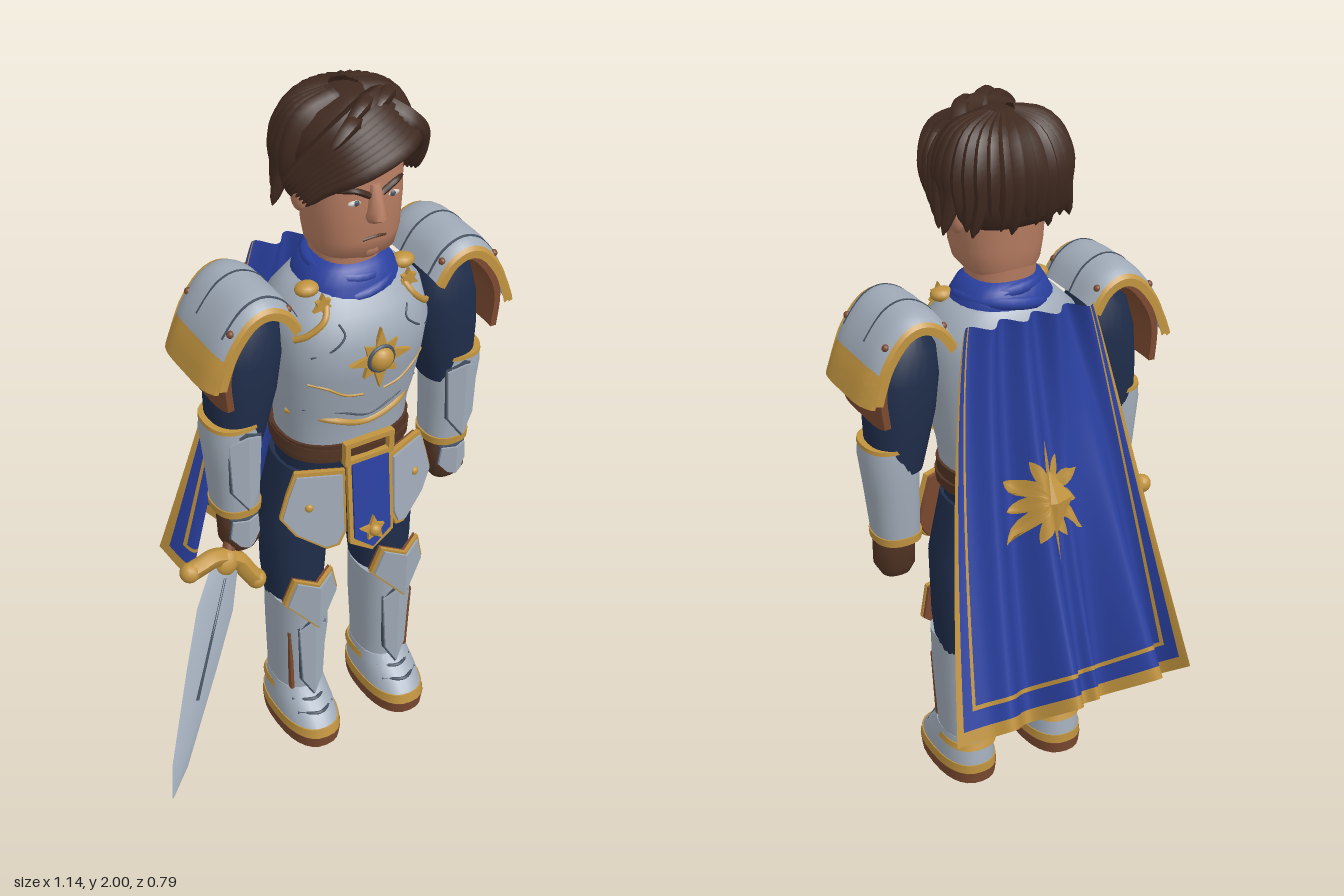
import * as THREE from 'three';
import { toCreasedNormals } from 'three/addons/utils/BufferGeometryUtils.js';

const mat = (name, color) => Object.assign(new THREE.MeshStandardMaterial({ color, side: THREE.DoubleSide }), { name });
const M = {
  steel: mat('steel', 0xa0abb8), line: mat('darkSteel', 0x465262), gold: mat('gold', 0xc0933f), blue: mat('blueCloth', 0x2a40a0), navy: mat('navyCloth', 0x1f2d4a),
  hair: mat('brownHair', 0x402a20), skin: mat('skin', 0xb57b60), leather: mat('leather', 0x7c4a30), dark: mat('darkLeather', 0x523424), white: mat('eyeWhite', 0xd0c8c0),
};
const V = (x, y, z) => new THREE.Vector3(x, y, z), V2 = (pts) => pts.map((q) => new THREE.Vector2(...q));
const mix = THREE.MathUtils.lerp, TAU = Math.PI * 2, E = 2.4; // E: roundness of body sections
function mesh3(p, idx) {
  const g = new THREE.BufferGeometry().setAttribute('position', new THREE.Float32BufferAttribute(p, 3)).setIndex(idx);
  g.computeVertexNormals();
  return g;
}
// stacked superellipse sections, rows rising: [y, rx, rz, cx, cz]
function loft(rows, n = 28, e = E) {
  const p = [], idx = [], pw = (c) => Math.sign(c) * Math.abs(c) ** (2 / e), last = rows.length - 1, c0 = rows.length * n;
  for (const [y, rx, rz, cx = 0, cz = 0] of rows)
    for (let j = 0; j < n; j++) p.push(cx + rx * pw(Math.cos((j / n) * TAU)), y, cz + rz * pw(Math.sin((j / n) * TAU)));
  for (const r of [rows[0], rows[last]]) p.push(r[3] || 0, r[0], r[4] || 0);
  for (let j = 0; j < n; j++) {
    const k = (j + 1) % n;
    for (let a = j, c = k; a < last * n; a += n, c += n) idx.push(a, a + n, c, a + n, c + n, c);
    idx.push(c0, j, k, c0 + 1, last * n + k, last * n + j);
  }
  return toCreasedNormals(mesh3(p, idx), 0.9);
}
// front z of a loft at (x, y)
function frontZ(rows, x, y) {
  const i = Math.max(0, rows.findLastIndex((r, k) => r[0] <= y && k < rows.length - 1)), a = rows[i], b = rows[i + 1];
  const [, rx, rz, , cz] = a.map((v, k) => mix(v, b[k], (y - a[0]) / (b[0] - a[0])));
  return cz + rz * Math.max(0, 1 - Math.abs(x / rx) ** E) ** (1 / E);
}
// tube of even thickness, or thinning toward its end
function lock(pts, r, thin = true, n = 18) {
  const c = new THREE.CatmullRomCurve3(pts.map((q) => V(...q))), g = new THREE.TubeGeometry(c, n, r, 7), p = g.attributes.position;
  for (let i = 0; thin && i < p.count; i++) {
    const t = Math.floor(i / 8) / n, o = c.getPointAt(t);
    const v = V(0, 0, 0).fromBufferAttribute(p, i).sub(o).multiplyScalar(Math.sqrt(Math.max(0.003, 1 - t * t))).add(o);
    p.setXYZ(i, v.x, v.y, v.z);
  }
  g.computeVertexNormals();
  return g;
}
const extrude = (pts, depth, steps = 1) => new THREE.ExtrudeGeometry(new THREE.Shape(V2(pts)), { depth, steps, bevelEnabled: false });
const scaled = (pts, k) => pts.map(([x, y]) => [x * k, y * k]);
const star = (n, R, r) => extrude(Array.from({ length: n * 2 }, (_, i) => [Math.sin, Math.cos].map((f) => f((i * Math.PI) / n) * (i % 2 ? r : i % 4 ? R * 0.75 : R))), 0.012);

export function createModel() {
  const place = (o, name, parent, pos = [0, 0, 0], rot = [0, 0, 0]) => {
    o.name = name; o.position.set(...pos); o.rotation.set(...rot);
    if (parent) parent.add(o);
    return o;
  };
  const group = (...args) => place(new THREE.Group(), ...args);
  const root = group('knight'), body = group('body', root, [0.11, 0, 0]);
  const add = (name, geo, m, pos, parent = body, rot) => place(new THREE.Mesh(geo, m), name, parent, pos, rot);
  const ball = (name, m, r, pos, sc = [1, 1, 1], parent = body) => add(name, new THREE.SphereGeometry(r, 14, 10), m, pos, parent).scale.set(...sc);
  // layered plate with a central ridge, mirrored from half an outline: layers [size, material, dz]
  const ridged = (name, half, fold, [x0, y0, z0], layers = [[1, M.line, 0], [0.93, M.steel, 0.006]]) => {
    for (const [k, m, dz] of layers) for (const t of [1, -1]) {
      const g = extrude(scaled(half, k).map(([x, y]) => [x * t, y]), 0.012), p = g.attributes.position;
      for (let i = 0; i < p.count; i++) p.setZ(i, p.getZ(i) - Math.abs(p.getX(i)) * fold);
      g.computeVertexNormals();
      add(name, g, m, [x0, y0, z0 + dz]);
    }
  };
  // torso, hips, belt
  const chest = [[0.98, 0.175, 0.135, 0, 0.1], [1.08, 0.185, 0.137, 0, 0.105], [1.13, 0.195, 0.145, 0, 0.108], [1.25, 0.205, 0.165, 0, 0.118],
    [1.35, 0.213, 0.175, 0, 0.122], [1.43, 0.2, 0.152, 0, 0.112], [1.48, 0.15, 0.115, 0, 0.105], [1.51, 0.09, 0.08, 0, 0.105]];
  add('breastplate', loft(chest, 40), M.steel);
  add('hips', loft([[0.78, 0.15, 0.085, 0, 0.085], [0.86, 0.178, 0.11, 0, 0.09], [1.0, 0.175, 0.125, 0, 0.1]]), M.navy);
  add('belt', loft([[0.965, 0.186, 0.142, 0, 0.1], [1.022, 0.188, 0.146, 0, 0.1]]), M.dark);
  add('slungBelt', loft([[-0.015, 0.192, 0.148], [0.015, 0.192, 0.148]]), M.dark, [0, 0.985, 0.1], body, [0, 0, -0.08]);
  // chest trim following the plate
  const trim = (name, m, r, pts) => add(name, lock(pts.map(([x, y]) => [x, y, frontZ(chest, x, y)]), r, false, 24), m);
  trim('waistTrim', M.gold, 0.009, [[-0.19, 1.12], [-0.1, 1.11], [0, 1.08], [0.1, 1.11], [0.19, 1.12]]);
  trim('waistGroove', M.line, 0.003, [[-0.17, 1.145], [-0.08, 1.135], [0, 1.105], [0.08, 1.135], [0.17, 1.145]]);
  for (const s of [1, -1]) {
    trim('chestTrim', M.gold, 0.009, [[s * 0.11, 1.465], [s * 0.13, 1.43], [s * 0.17, 1.39], [s * 0.195, 1.37]]);
    trim('ribTrim', M.gold, 0.004, [[s * 0.03, 1.19], [s * 0.08, 1.2], [s * 0.13, 1.23], [s * 0.17, 1.24]]);
    trim('ribGroove', M.line, 0.003, [[s * 0.1, 1.42], [s * 0.09, 1.39], [s * 0.12, 1.36], [s * 0.17, 1.33]]);
    add('buckleBar', new THREE.BoxGeometry(0.15, 0.015, 0.02), M.gold, [0, 1.0 + s * 0.028, 0.253]);
    add('buckleSide', new THREE.BoxGeometry(0.016, 0.07, 0.02), M.gold, [s * 0.067, 1.0, 0.253]);
  }
  add('sunRays', star(8, 0.09, 0.042), M.gold, [0, 1.31, 0.288]);
  add('sunRing', new THREE.TorusGeometry(0.035, 0.006, 8, 24), M.line, [0, 1.31, 0.3]);
  ball('sunBoss', M.gold, 0.034, [0, 1.31, 0.301], [1, 1, 0.75]);
  add('scarf', loft([[1.45, 0.14, 0.125, 0, 0.115], [1.49, 0.135, 0.118, 0, 0.11], [1.53, 0.112, 0.105, 0, 0.105], [1.548, 0.09, 0.085, 0, 0.105]]), M.blue);
  for (const [y, r, tilt] of [[1.48, 0.115, 0.16], [1.515, 0.098, -0.1]])
    add('scarfFold', new THREE.TorusGeometry(r, 0.018, 8, 28), M.blue, [0, y, 0.11], body, [Math.PI / 2 + 0.12, tilt, 0]);
  // head and face
  const head = [[1.555, 0.085, 0.08, 0, 0.11], [1.585, 0.108, 0.112, 0, 0.13], [1.63, 0.118, 0.118, 0, 0.133], [1.72, 0.125, 0.12, 0, 0.13],
    [1.8, 0.126, 0.122, 0, 0.125], [1.9, 0.11, 0.11, 0, 0.12], [1.95, 0.04, 0.04, 0, 0.12]];
  add('neck', loft([[1.48, 0.088, 0.085, 0, 0.11], [1.58, 0.09, 0.09, 0, 0.11]]), M.skin);
  add('head', loft(head, 32), M.skin);
  add('nose', loft([[1.685, 0.02, 0.015, 0, 0.25], [1.7, 0.027, 0.037, 0, 0.25], [1.72, 0.022, 0.032, 0, 0.25], [1.785, 0.014, 0.012, 0, 0.245]], 12, 2), M.skin);
  ball('chin', M.skin, 0.045, [0, 1.6, 0.215], [1.1, 0.7, 0.7]);
  add('mouth', lock([[-0.033, 1.637, 0.247], [0, 1.642, 0.252], [0.033, 1.637, 0.247]], 0.004, false), M.dark);
  for (const s of [1, -1]) {
    const z = frontZ(head, 0.052, 1.745);
    ball('eye', M.white, 0.02, [s * 0.053, 1.743, z - 0.002], [1, 0.38, 0.35]);
    ball('iris', M.line, 0.008, [s * 0.051, 1.744, z + 0.003], [1, 0.9, 0.5]);
    add('eyebrow', lock([[s * 0.018, 1.758, z + 0.007], [s * 0.06, 1.78, z + 0.004], [s * 0.095, 1.772, z - 0.024]], 0.009), M.hair);
    ball('ear', M.skin, 0.036, [s * 0.127, 1.715, 0.1], [0.5, 1.1, 0.8]);
  }
  // hair: cap, combed sides and back, swept fringe
  add('hairCap', loft([[1.71, 0.11, 0.06, 0, 0.04], [1.74, 0.14, 0.09, 0, 0.045], [1.8, 0.155, 0.115, 0, 0.06], [1.85, 0.16, 0.145, 0, 0.095],
    [1.91, 0.145, 0.145, 0, 0.1], [1.95, 0.1, 0.11, 0, 0.11], [1.975, 0.03, 0.04, 0, 0.11]]), M.hair);
  for (let i = 0; i < 19; i++) {
    const a = -0.15 + (i / 18) * (Math.PI + 0.3), c = Math.cos(a), b = -Math.sin(a), w = i % 3;
    add('combedLock', lock([[c * 0.03, 1.955, 0.1 + b * 0.04], [c * 0.12, 1.93, 0.095 + b * 0.1], [c * 0.16, 1.86, 0.09 + b * 0.135],
      [c * 0.162, 1.79, 0.085 + b * 0.13], [c * (0.15 + w * 0.02), 1.72 - w * 0.012, 0.085 + b * 0.11]], 0.033), M.hair);
  }
  for (let k = 0; k < 1.01; k += 1 / 7)
    add('fringeLock', lock([[0.13 - k * 0.07, 1.88 + k * 0.08, 0.2 - k * 0.04], [0.06 - k * 0.05, 1.875 + k * 0.09, 0.262 - k * 0.07],
      [-0.05 - k * 0.03, 1.84 + k * 0.09, 0.272 - k * 0.06], [-0.13 - k * 0.02, 1.79 + k * 0.06, 0.225 - k * 0.05], [-0.165 - k * 0.03, 1.745 + k * 0.04, 0.2 - k * 0.06]], 0.033), M.hair);
  for (let i = 0; i < 4; i++)
    add('templeLock', lock([[0.05, 1.95 - i * 0.012, 0.17], [0.11, 1.91 - i * 0.01, 0.225 - i * 0.02], [0.155, 1.84, 0.2 - i * 0.03], [0.16 + i * 0.008, 1.75 - i * 0.015, 0.175 - i * 0.03]], 0.032), M.hair);
  for (const [x, y, z] of [[-0.08, 1.955, 0.25], [-0.03, 1.98, 0.22], [0.04, 1.975, 0.2]])
    add('quiff', lock([[x + 0.05, 1.92, z - 0.07], [x + 0.04, y - 0.01, z - 0.04], [x, y, z], [x - 0.06, y - 0.035, z + 0.02]], 0.024), M.hair);
  // curved shoulder band along z, drawn in toward its front and back rims
  const arch = (name, m, s, pts, t0, t1, z0, z1) => {
    const c = new THREE.SplineCurve(V2(pts.map(([x, y]) => [s * x, y]))), ids = [...Array(21).keys()];
    const at = (t) => (i) => { const q = c.getPoint(i / 20), d = c.getTangent(i / 20); return [q.x - s * d.y * t, q.y + s * d.x * t]; };
    const g = extrude([...ids.map(at(t1)), ...ids.map(at(t0)).reverse()], z1 - z0, 16), p = g.attributes.position;
    for (let i = 0; i < p.count; i++) {
      const z = p.getZ(i) + z0, k = 1 - 0.15 * Math.abs((z - 0.107) / 0.14) ** 5;
      p.setXYZ(i, mix(s * 0.29, p.getX(i), k), mix(1.3, p.getY(i), k), z);
    }
    add(name, toCreasedNormals(g, 0.6), m);
  };
  const dome = [[0.19, 1.45], [0.23, 1.51], [0.29, 1.538], [0.35, 1.518], [0.405, 1.45], [0.435, 1.38], [0.452, 1.325]];
  for (const s of [1, -1]) {
    arch('pauldron', M.steel, s, dome, -0.02, 0, -0.028, 0.242);
    arch('pauldronBand', M.gold, s, [[0.408, 1.41], [0.43, 1.365], [0.45, 1.31]], 0, 0.014, -0.026, 0.24);
    arch('pauldronLining', M.leather, s, [[0.27, 1.512], [0.33, 1.495], [0.39, 1.42], [0.417, 1.34], [0.41, 1.235]], -0.018, 0.002, -0.015, 0.232);
    for (const z of [-0.033, 0.238]) arch('pauldronEdge', M.gold, s, dome, -0.02, 0.005, z, z + 0.009);
    for (const z of [0.077, 0.205]) arch('pauldronGroove', M.line, s, dome.slice(0, 5), -0.01, 0.002, z, z + 0.005);
    for (const z of [-0.005, 0.22]) for (const [x, y] of [[0.225, 1.485], [0.385, 1.462]]) ball('rivet', M.leather, 0.01, [s * x, y, z]);
    ball('scarfStud', M.gold, 0.028, [s * 0.14, 1.487, 0.165], [1.2, 0.7, 1]);
    add('collarStar', star(6, 0.032, 0.016), M.gold, [s * 0.125, 1.465, 0.212]);
    // arm, leg and boot sections
    const limb = (name, m, rows) => add(name, loft(rows.map(([y, rx, rz, cx, cz]) => [y, rx, rz, s * cx, cz])), m);
    limb('sleeve', M.navy, [[1.06, 0.068, 0.075, 0.322, 0.11], [1.12, 0.079, 0.082, 0.317, 0.11], [1.22, 0.094, 0.088, 0.305, 0.11], [1.32, 0.097, 0.09, 0.295, 0.11], [1.4, 0.084, 0.08, 0.287, 0.11], [1.46, 0.04, 0.05, 0.275, 0.11]]);
    limb('vambrace', M.steel, [[0.85, 0.062, 0.068, 0.328, 0.115], [1.0, 0.07, 0.08, 0.334, 0.115], [1.1, 0.078, 0.084, 0.338, 0.115], [1.14, 0.074, 0.082, 0.338, 0.115]]);
    limb('cuff', M.gold, [[0.845, 0.066, 0.072, 0.328, 0.115], [0.867, 0.067, 0.073, 0.328, 0.115]]);
    limb('elbowTrim', M.gold, [[1.132, 0.077, 0.085, 0.338, 0.115], [1.143, 0.076, 0.084, 0.338, 0.115]]);
    limb('glove', M.dark, [[0.72, 0.04, 0.035, 0.325, 0.135], [0.75, 0.055, 0.052, 0.327, 0.135], [0.82, 0.056, 0.052, 0.328, 0.13], [0.86, 0.045, 0.045, 0.328, 0.12]]);
    limb('thigh', M.navy, [[0.43, 0.074, 0.08, 0.14, 0.1], [0.55, 0.086, 0.09, 0.14, 0.095], [0.75, 0.094, 0.1, 0.135, 0.09], [0.92, 0.085, 0.105, 0.1, 0.09]]);
    limb('greave', M.steel, [[0.12, 0.068, 0.088, 0.14, 0.11], [0.2, 0.071, 0.09, 0.14, 0.112], [0.35, 0.079, 0.1, 0.138, 0.115], [0.47, 0.08, 0.102, 0.138, 0.115]]);
    limb('ankleTrim', M.gold, [[0.115, 0.078, 0.103, 0.14, 0.108], [0.133, 0.074, 0.096, 0.14, 0.108]]);
    limb('sole', M.leather, [[0, 0.083, 0.15, 0.142, 0.155], [0.037, 0.087, 0.155, 0.142, 0.155]]);
    limb('bootTrim', M.gold, [[0.037, 0.086, 0.154, 0.142, 0.155], [0.064, 0.084, 0.15, 0.142, 0.152]]);
    limb('boot', M.steel, [[0.064, 0.081, 0.146, 0.142, 0.151], [0.09, 0.079, 0.132, 0.142, 0.141], [0.12, 0.075, 0.11, 0.141, 0.125], [0.15, 0.07, 0.094, 0.14, 0.113]]);
    ridged('vambracePlate', [[0, 0.13], [0.05, 0.105], [0.042, -0.06], [0, -0.12]], 0.4, [s * 0.333, 1.0, 0.193]);
    ridged('handPlate', [[0, 0.045], [0.04, 0.04], [0.046, -0.02], [0.022, -0.048], [0, -0.052]], 0.5, [s * 0.328, 0.795, 0.18]);
    ridged('shinPlate', [[0, 0.15], [0.045, 0.11], [0.034, -0.09], [0, -0.15]], 0.4, [s * 0.138, 0.28, 0.211]);
    ridged('kneePlate', [[0, 0.075], [0.06, 0.09], [0.085, 0], [0, -0.085]], 0.55, [s * 0.14, 0.495, 0.236], [[0.96, M.leather, -0.011], [1, M.gold, 0], [0.9, M.steel, 0.007]]);
    add('greaveStrap', new THREE.BoxGeometry(0.01, 0.22, 0.016), M.leather, [s * 0.194, 0.26, 0.182], body, [0, 0, -s * 0.04]);
    for (const [y, z] of [[0.095, 0.268], [0.122, 0.234]])
      add('bootGroove', lock([[s * 0.142 - 0.055, y, z - 0.035], [s * 0.142, y + 0.005, z], [s * 0.142 + 0.055, y, z - 0.035]], 0.005, false), M.line);
    // hip plate
    const hip = group('hipPlate', body, [s * 0.14, 0.82, 0.222], [-0.08, s * 0.38, 0]);
    const out = [[-0.08, 0.125], [0.055, 0.13], [0.08, 0.06], [0.1, -0.01], [0.06, -0.07], [-0.025, -0.125], [-0.06, -0.115], [-0.08, -0.07]].map(([px, py]) => [px * s, py]);
    for (const [name, m, k, d, z] of [['hipLining', M.leather, 0.96, 0.01, -0.01], ['hipEdge', M.gold, 1, 0.014, 0], ['hipFace', M.steel, 0.91, 0.02, 0]])
      add(name, extrude(scaled(out, k), d), m, [0, 0, z], hip);
    ball('hipStud', M.gold, 0.012, [s * 0.02, 0.02, 0.02], [1, 1, 0.7], hip);
  }
  // front cloth
  const cloth = group('frontCloth', body, [0, 0.955, 0.25], [-0.1, 0, 0]);
  for (const [name, m, w, b, d] of [['clothEdge', M.gold, 0.068, 0, 0.012], ['clothFace', M.blue, 0.056, 0.014, 0.018]])
    add(name, extrude([[-w, 0.01], [w, 0.01], [w, -0.24 + b], [0, -0.285 + b], [-w, -0.24 + b]], d), m, [0, 0, 0], cloth);
  add('clothStar', star(5, 0.045, 0.02), M.gold, [0, -0.21, 0.016], cloth);
  ball('clothBoss', M.gold, 0.018, [0, -0.21, 0.03], [1, 1, 0.8], cloth);
  // cape: blend from a short top edge to a folded hem
  const hem = new THREE.SplineCurve(V2([[-0.26, -0.29], [-0.2, -0.2], [-0.12, -0.35], [0, -0.24], [0.05, -0.31], [0.09, -0.29], [0.16, -0.39], [0.25, -0.28], [0.33, -0.35], [0.39, -0.32], [0.48, -0.3]]));
  const capeAt = (u, t) => {
    const h = hem.getPoint(u);
    return [mix(-0.06 + 0.37 * u, h.x, t ** 0.88), mix(1.49, 0.34 + Math.max(0, -h.y - 0.2) * 0.75, t), mix(-0.075 - 0.022 * Math.sin(u * 25), h.y, t ** 1.3)];
  };
  const nu = 110, nv = 90, p = [], blueIdx = [], goldIdx = [];
  for (let j = 0; j <= nv; j++) for (let i = 0; i <= nu; i++) {
    p.push(...capeAt(i / nu, j / nv));
    if (i === nu || j === nv) continue;
    const a = j * (nu + 1) + i, b = a + nu + 1, side = Math.min(i, nu - 1 - i), low = nv - 1 - j;
    (side < 3 || low < 3 || (side === 6 && low > 6) || (low === 7 && side > 5) ? goldIdx : blueIdx).push(a, a + 1, b, a + 1, b + 1, b);
  }
  add('cape', mesh3(p, blueIdx), M.blue, [0, 0, 0], root);
  add('capeBorder', mesh3(p, goldIdx), M.gold, [0, 0, 0], root);
  // sun draped over the cape folds
  const sp = [], si = [], na = 96, nr = 8, [bx, by, bz] = capeAt(0.53, 0.46);
  for (let r = 0; r <= nr; r++) for (let i = 0; i < na; i++) {
    const a = (i / na) * TAU, ray = Math.abs(((i % 8) - 4) / 4), q = (r / nr) * mix(0.07, i % 16 > 4 && i % 16 < 12 ? 0.115 : 0.15, ray);
    const [x, y, z] = capeAt(0.53 + (Math.sin(a) * q) / 0.57, 0.46 - Math.cos(a) * q * 1.05), c = r * na + i, d = r * na + ((i + 1) % na);
    sp.push(x, y, z - 0.008);
    if (r < nr) si.push(c, d, c + na, d, d + na, c + na);
  }
  add('capeSun', mesh3(sp, si), M.gold, [0, 0, 0], root);
  add('capeSunBoss', new THREE.OctahedronGeometry(0.08), M.gold, [bx, by, bz - 0.01], root, [0.27, 0, 0]).scale.set(0.75, 1.1, 0.35);
  // sword in the right hand
  const sword = group('sword', root), up = V(0.295, 0.56, -0.225).normalize(), across = V(up.y, -up.x, 0).normalize();
  sword.applyMatrix4(new THREE.Matrix4().makeBasis(across, up, across.clone().cross(up)).setPosition(-0.275, 0.71, 0.17));
  add('blade', loft([[-0.67, 0.002, 0.001], [-0.58, 0.026, 0.008], [-0.3, 0.05, 0.013], [-0.14, 0.06, 0.014], [0, 0.042, 0.014]], 4, 2), M.steel, [0, 0, 0], sword);
  add('fuller', new THREE.BoxGeometry(0.008, 0.34, 0.027), M.line, [0, -0.22, 0], sword);
  add('guard', lock([[-0.11, -0.045, 0], [-0.08, -0.025, 0], [-0.04, 0, 0], [0.04, 0, 0], [0.08, -0.025, 0], [0.115, -0.045, 0]], 0.027, false, 24), M.gold, [0, 0, 0], sword);
  for (const x of [-0.11, 0.115]) ball('guardEnd', M.gold, 0.028, [x, -0.045, 0], [1, 1, 1], sword);
  ball('guardBoss', M.gold, 0.037, [0, -0.005, 0], [1, 1.1, 0.8], sword);
  add('grip', new THREE.CylinderGeometry(0.018, 0.018, 0.16, 12), M.leather, [0, 0.08, 0], sword);
  ball('pommel', M.gold, 0.026, [0, 0.17, 0], [1, 1, 1], sword);
  return root;
}
